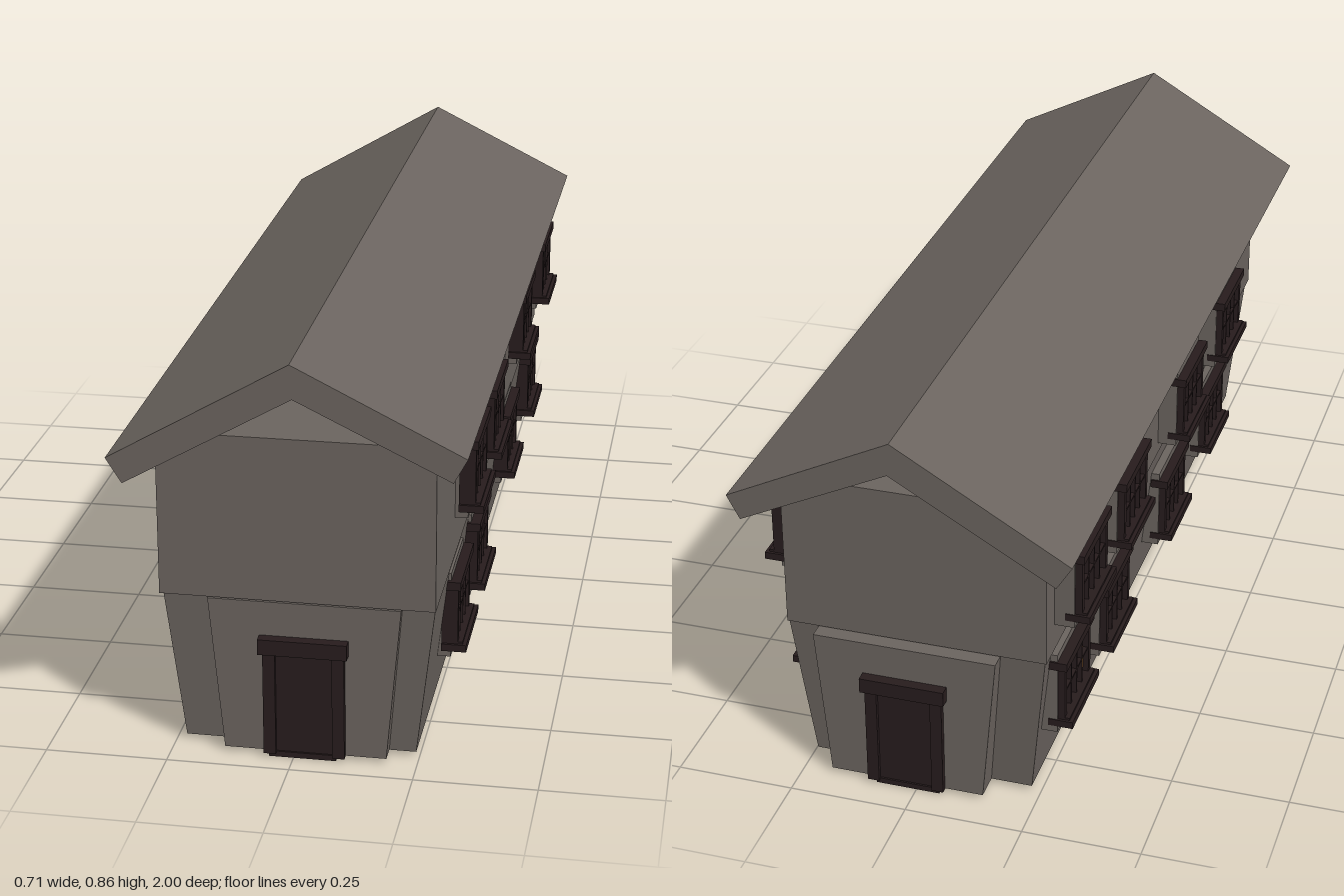
import * as THREE from 'three';

const mat = (name, color) => {
  const m = new THREE.MeshStandardMaterial({ color });
  m.name = name;
  return m;
};

export function createModel() {
  const stone = mat('grey stone', 0x6b645f);
  stone.side = THREE.DoubleSide; // the ground floor shell is open below
  const wood = mat('dark wood', 0x271c1d);
  const glow = mat('amber glass', 0xe6a256);
  const pale = mat('pale floor', 0xe2e2e2);
  const model = new THREE.Group();
  model.name = 'longhouse';

  const add = (parent, name, geometry, material) => {
    const mesh = new THREE.Mesh(geometry, material);
    mesh.name = name;
    parent.add(mesh);
    return mesh;
  };
  // Box given by its limits on each axis
  const box = (parent, name, material, [x0, x1], [y0, y1], [z0, z1]) => {
    const g = new THREE.BoxGeometry(x1 - x0, y1 - y0, z1 - z0);
    g.translate((x0 + x1) / 2, (y0 + y1) / 2, (z0 + z1) / 2);
    return add(parent, name, g, material);
  };
  // Outline in x and y, extruded between two depths
  const extrude = (parent, name, material, points, [z0, z1]) => {
    const shape = new THREE.Shape(points.map(([x, y]) => new THREE.Vector2(x, y)));
    const g = new THREE.ExtrudeGeometry(shape, { depth: z1 - z0, bevelEnabled: false });
    g.translate(0, 0, z0);
    return add(parent, name, g, material);
  };
  // Box without underside; bottom and top have their own [x0, x1, z0, z1] limits
  const taperedShell = (parent, name, material, y0, y1, bottom, top) => {
    const g = new THREE.BoxGeometry(1, 1, 1);
    const p = g.attributes.position;
    for (let i = 0; i < p.count; i++) {
      const r = p.getY(i) > 0 ? top : bottom;
      p.setXYZ(i, p.getX(i) > 0 ? r[1] : r[0], p.getY(i) > 0 ? y1 : y0, p.getZ(i) > 0 ? r[3] : r[2]);
    }
    const index = Array.from(g.index.array);
    index.splice(18, 6);
    g.setIndex(index);
    g.clearGroups();
    g.computeVertexNormals();
    return add(parent, name, g, material);
  };

  // Walls: tapered hollow ground floor and straight upper floor
  taperedShell(model, 'groundFloor', stone, 0.01, 0.342,
    [-0.23, 0.243, -0.862, 0.903], [-0.266, 0.283, -0.885, 0.925]);
  box(model, 'upperFloor', stone, [-0.27, 0.285], [0.34, 0.685], [-0.89, 0.94]);
  // Floor slab, stopping short of the front and right walls
  box(model, 'innerFloor', pale, [-0.157, 0.243], [0.018, 0.026], [-0.862, 0.674]);

  // Roof: uneven gable with open ends
  extrude(model, 'roof', stone, [
    [-0.354, 0.648], [-0.322, 0.597], [0.015, 0.79],
    [0.325, 0.64], [0.352, 0.69], [0.01, 0.86],
  ], [-1, 1]);

  // Entrances: tapered stone surround with a framed door at each end
  for (const [end, side, inner, outer] of [['front', 1, 0.84, 0.942], ['back', -1, 0.8, 0.921]]) {
    const entrance = new THREE.Group();
    entrance.name = end + 'Entrance';
    model.add(entrance);
    const span = (a, b) => (side > 0 ? [a, b] : [-b, -a]);
    extrude(entrance, 'doorSurround', stone, [
      [-0.142, 0.01], [-0.045, 0.01], [-0.045, 0.24], [0.09, 0.24],
      [0.09, 0.01], [0.188, 0.01], [0.217, 0.338], [-0.172, 0.338],
    ], span(inner, outer));
    box(entrance, 'door', wood, [-0.045, 0.09], [0.008, 0.24], span(outer - 0.03, outer + 0.004));
    for (const x of [-0.06, 0.08]) {
      box(entrance, 'doorPost', wood, [x, x + 0.025], [0.008, 0.235], span(outer - 0.03, outer + 0.013));
    }
    box(entrance, 'doorLintel', wood, [-0.068, 0.112], [0.232, 0.265], span(outer - 0.03, outer + 0.023));
    box(entrance, 'threshold', wood, [-0.05, 0.087], [0, 0.012], span(outer - 0.05, outer + 0.008));
  }

  // Window facing +x, turned around for the other wall
  const addWindow = (name, side, x, y, z) => {
    const w = new THREE.Group();
    w.name = name;
    w.position.set(x * side, y, z);
    if (side < 0) w.rotation.y = Math.PI;
    model.add(w);
    const half = side > 0 ? 0.092 : 0.098;
    box(w, 'windowSurround', stone, [-0.03, 0.024], [-0.094, 0.094], [-half, half]);
    box(w, 'windowGlass', glow, [0.024, 0.027], [-0.065, 0.065], [-0.082, 0.082]);
    for (const s of [-1, 1]) {
      const c = s * 0.087;
      box(w, 'windowPost', wood, [0.005, 0.039], [-0.07, 0.07], [c - 0.0075, c + 0.0075]);
    }
    box(w, 'windowLintel', wood, [0.005, 0.045], [0.06, 0.0785], [-0.102, 0.102]);
    box(w, 'windowSill', wood, [0.005, 0.057], [-0.0785, -0.063], [-0.1, 0.1]);
    box(w, 'windowSillStep', wood, [0.005, 0.049], [-0.064, -0.058], [-0.094, 0.094]);
    for (const c of [-0.04, 0, 0.04]) {
      box(w, 'windowBar', wood, [0.025, 0.037], [-0.062, 0.062], [c - 0.0025, c + 0.0025]);
    }
    box(w, 'windowCrossbar', wood, [0.025, 0.037], [-0.003, 0.002], [-0.08, 0.08]);
  };

  // Rows of [height, depth] for each wall and floor
  const rows = [
    ['leftUpperWindow', 1, 0.288, [[0.52, 0.574], [0.514, 0.262], [0.541, -0.304], [0.531, -0.747]]],
    ['leftLowerWindow', 1, 0.262, [[0.23, 0.626], [0.225, 0.311], [0.257, -0.255], [0.247, -0.695]]],
    ['rightUpperWindow', -1, 0.288, [[0.495, -0.738], [0.478, -0.418], [0.46, 0.095], [0.47, 0.475]]],
    ['rightLowerWindow', -1, 0.255, [[0.238, -0.745], [0.218, -0.428], [0.198, 0.08], [0.218, 0.468]]],
  ];
  for (const [name, side, x, spots] of rows) {
    spots.forEach(([y, z], i) => addWindow(name + (i + 1), side, x, y, z));
  }
  return model;
}
